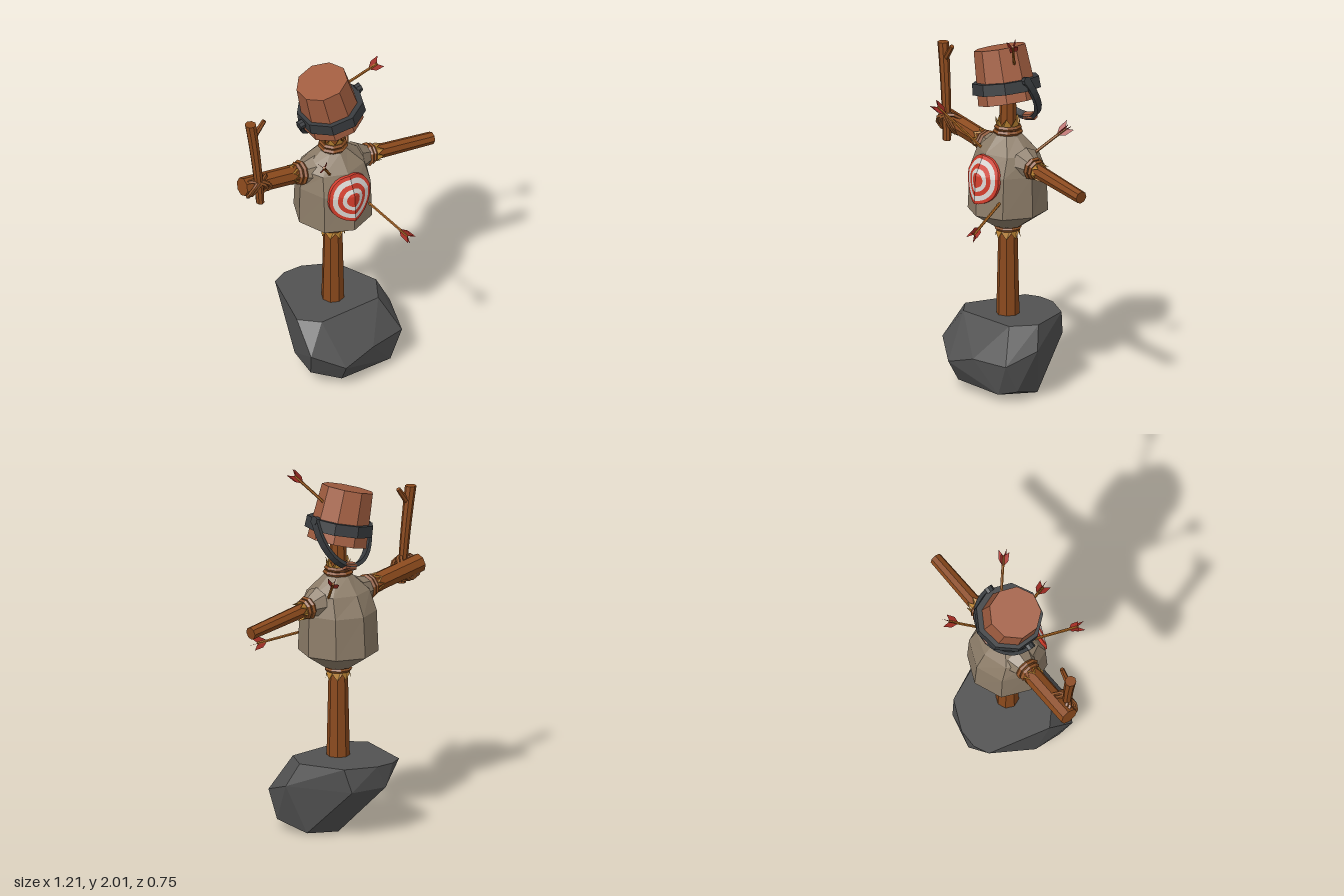
import * as THREE from 'three';
import { ConvexGeometry } from 'three/addons/geometries/ConvexGeometry.js';

const mat = (color) => new THREE.MeshStandardMaterial({ color, flatShading: true, side: THREE.DoubleSide });
const WOOD = mat(0x8a491c), ROPE = mat(0x8c5024), FRAY = mat(0xb98232), SACK = mat(0x8d7d69);
const CLAY = mat(0xa15d40), IRON = mat(0x383b3e), STONE = mat(0x525252);
const RED = mat(0xd23c2b), WHITE = mat(0xd9d6d2), SHAFT = mat(0xb06a24), FEATHER = mat(0xa52d24);
const CX = -0.035, CZ = -0.065;
const V = (a) => new THREE.Vector3(...a);

function add(parent, name, geometry, material) {
  const mesh = new THREE.Mesh(geometry, material);
  mesh.name = name;
  parent.add(mesh);
  return mesh;
}

// Group whose local +y runs from a towards b
function aim(parent, name, a, b) {
  const g = new THREE.Group();
  g.name = name;
  g.position.copy(V(a));
  g.quaternion.setFromUnitVectors(new THREE.Vector3(0, 1, 0), V(b).sub(V(a)).normalize());
  parent.add(g);
  return g;
}

// Tapered pole between two points
function pole(parent, name, a, b, r1, r2, sides = 8) {
  const g = aim(parent, name, a, b), len = V(a).distanceTo(V(b));
  add(g, name, new THREE.CylinderGeometry(r2, r1, len, sides), WOOD).position.y = len / 2;
}

// Two rope rings with a frayed crown of cloth points
function collar(parent, name, at, towards, r) {
  const g = aim(parent, name, at, towards);
  for (const y of [-0.012, 0.012]) {
    const ring = add(g, 'ropeRing', new THREE.TorusGeometry(y < 0 ? r : r - 0.007, 0.013, 5, 9), ROPE);
    ring.rotation.x = Math.PI / 2;
    ring.position.y = y;
  }
  const crown = new THREE.CylinderGeometry(r - 0.003, r - 0.016, 0.055, 16, 1, true);
  const p = crown.attributes.position;
  for (let i = 1; i < 17; i += 2) p.setY(i, p.getY(i) - 0.035);
  add(g, 'frayedCloth', crown, FRAY).position.y = 0.04;
}

// Sack cross-sections: height, half width, half depth
const RINGS = [[0.9, 0.085, 0.085], [0.985, 0.213, 0.219], [1.21, 0.208, 0.205], [1.32, 0.185, 0.152], [1.41, 0.075, 0.075]];

function sackGeometry() {
  const pos = [], idx = [], n = 8;
  for (const [y, rx, rz] of RINGS)
    for (let i = 0; i < n; i++) {
      const a = (i / n) * Math.PI * 2;
      pos.push(CX + rx * Math.sin(a), y, CZ + rz * Math.cos(a));
    }
  for (let r = 0; r < RINGS.length - 1; r++)
    for (let i = 0; i < n; i++) {
      const a = r * n + i, b = r * n + ((i + 1) % n);
      idx.push(a, b, b + n, a, b + n, a + n);
    }
  const top = (RINGS.length - 1) * n;
  for (let i = 1; i < n - 1; i++) idx.push(0, i + 1, i, top, top + i, top + i + 1);
  const g = new THREE.BufferGeometry();
  g.setAttribute('position', new THREE.Float32BufferAttribute(pos, 3));
  g.setIndex(idx);
  g.computeVertexNormals();
  return g;
}

// Depth of the sack's front at an offset dx from its middle
function sackFront(dx, y) {
  let k = 0;
  while (k < RINGS.length - 2 && y > RINGS[k + 1][0]) k++;
  const [y0, x0, z0] = RINGS[k], [y1, x1, z1] = RINGS[k + 1], t = (y - y0) / (y1 - y0);
  return CZ + (z0 + (z1 - z0) * t) * (1 - (0.414 * Math.abs(dx)) / (x0 + (x1 - x0) * t));
}

// Lay a flat geometry onto the sack's front
function wrap(geometry) {
  const p = geometry.attributes.position, cy = 1.185;
  for (let i = 0; i < p.count; i++) {
    const x = p.getX(i), y = p.getY(i) + cy;
    p.setXYZ(i, x + CX, y, p.getZ(i) + sackFront(x, y));
  }
  geometry.computeVertexNormals();
  return geometry;
}

function arrow(parent, tip, tail) {
  const g = aim(parent, 'arrow', tip, tail), len = V(tip).distanceTo(V(tail));
  add(g, 'arrowShaft', new THREE.CylinderGeometry(0.008, 0.008, len, 6), SHAFT).position.y = len / 2 - 0.02;
  const vane = new THREE.Shape([[0, -0.075], [0.03, -0.035], [0.034, 0.02], [0, -0.012], [-0.034, 0.02], [-0.03, -0.035]]
    .map(([x, y]) => new THREE.Vector2(x, y)));
  for (const turn of [0.4, 0.4 + Math.PI / 2]) {
    const f = add(g, 'fletching', new THREE.ShapeGeometry(vane), FEATHER);
    f.position.y = len - 0.01;
    f.rotation.y = turn;
  }
}

export function createModel() {
  const model = new THREE.Group();
  model.name = 'trainingDummy';

  // Boulder base
  add(model, 'boulder', new ConvexGeometry([
    [-0.31, 0.4, 0.01], [-0.21, 0.4, 0.1], [0.16, 0.4, 0.08], [0.235, 0.4, -0.06], [0.13, 0.4, -0.3],
    [-0.04, 0.4, -0.375], [-0.15, 0.4, -0.375], [-0.23, 0.4, -0.335], [-0.1, 0.275, -0.375], [0.1, 0.27, -0.33],
    [0.29, 0.275, -0.01], [-0.315, 0.245, 0.16], [-0.15, 0.16, 0.25], [0.035, 0.215, 0.228], [0.25, 0.21, 0.175],
    [0.2, 0.01, -0.08], [0.03, 0, -0.14], [-0.14, 0.05, 0.19], [0.18, 0.04, 0.17], [0.255, 0.06, 0.1],
    [-0.28, 0.09, 0.1], [-0.28, 0.12, -0.06]].map(V)), STONE);

  // Post and neck
  pole(model, 'post', [CX, 0.33, CZ], [CX, 0.95, CZ], 0.064, 0.05);
  pole(model, 'neck', [CX, 1.36, CZ], [CX, 1.75, CZ], 0.047, 0.043);
  collar(model, 'lowerCollar', [CX, 0.895, CZ], [CX, 0, CZ], 0.07);
  collar(model, 'neckCollar', [CX, 1.435, CZ], [CX, 2, CZ], 0.07);

  // Sack body
  add(model, 'sackBody', sackGeometry(), SACK);

  // Painted target
  const radii = [0.001, 0.04, 0.062, 0.086, 0.112, 0.13];
  for (let i = 0; i < 5; i++) {
    const ring = new THREE.RingGeometry(radii[i], radii[i + 1], 32, 3);
    ring.translate(0, 0, 0.015);
    add(model, 'targetRing', wrap(ring), i % 2 ? WHITE : RED);
  }
  const rim = new THREE.CylinderGeometry(0.13, 0.13, 0.02, 32, 1, true);
  rim.rotateX(Math.PI / 2).translate(0, 0, 0.005);
  add(model, 'targetRim', wrap(rim), RED);

  // Arms with sack sleeves and collars
  const arms = [
    { side: 'right', a: [-0.15, 1.29, -0.083], b: [-0.6, 1.36, -0.078], r: [0.052, 0.052], c: [-0.243, 1.305, -0.08], cr: 0.058 },
    { side: 'left', a: [0.08, 1.278, -0.066], b: [0.592, 1.202, -0.07], r: [0.042, 0.035], c: [0.195, 1.262, -0.067], cr: 0.053 }];
  for (const { side, a, b, r, c, cr } of arms) {
    pole(model, side + 'Arm', a, b, ...r);
    collar(model, side + 'ArmCollar', c, b, cr);
    const sleeve = aim(model, side + 'Sleeve', c, b);
    add(sleeve, side + 'Sleeve', new THREE.CylinderGeometry(cr - 0.006, 0.09, 0.09, 8), SACK).position.y = -0.045;
  }

  // Bent stick lashed to the right arm
  const stick = new THREE.CylinderGeometry(0.031, 0.023, 0.535, 8, 6);
  const p = stick.attributes.position;
  for (let i = 0; i < p.count; i++) {
    const t = p.getY(i) / 0.535 + 0.5;
    p.setXYZ(i, p.getX(i) - 0.517 - 0.026 * t * (1 + t), p.getY(i) + 1.522, p.getZ(i) - 0.03 - 0.015 * t);
  }
  stick.computeVertexNormals();
  add(model, 'stick', stick, WOOD);
  pole(model, 'twig', [-0.555, 1.69, -0.043], [-0.485, 1.785, -0.04], 0.017, 0.013, 6);
  for (const tilt of [-0.75, 0.75])
    for (const shift of [-0.012, 0.012]) {
      const lash = add(model, 'lashing', new THREE.TorusGeometry(0.067, 0.011, 5, 10), ROPE);
      lash.position.set(-0.52 + shift, 1.345, -0.06);
      lash.rotation.set(0, Math.PI / 2 + tilt, tilt, 'ZYX');
    }

  // Tilted bucket head, hollow underneath
  const head = new THREE.Group();
  head.name = 'bucketHead';
  head.position.set(-0.029, 1.587, CZ);
  head.rotation.z = 0.26;
  model.add(head);
  const profile = [[0, 0.27], [0.125, 0.27], [0.143, 0], [0.165, 0], [0.142, 0.296], [0, 0.296]]
    .map(([x, y]) => new THREE.Vector2(x, y));
  add(head, 'bucket', new THREE.LatheGeometry(profile, 9), CLAY).rotation.y = Math.PI / 2;

  // Iron band
  const band = [[0.15, 0.06], [0.187, 0.06], [0.183, 0.122], [0.145, 0.122]].map(([x, y]) => new THREE.Vector2(x, y));
  const bandMesh = add(head, 'ironBand', new THREE.LatheGeometry(band, 9), IRON);
  bandMesh.rotation.set(0, Math.PI / 2, -0.05, 'ZYX');

  // Swinging handle with a grip
  const handle = new THREE.Group();
  handle.name = 'handle';
  handle.position.set(0, 0.105, 0);
  handle.rotation.x = 0.54;
  head.add(handle);
  const arch = new THREE.Shape();
  arch.absellipse(0, 0, 0.2, 0.255, Math.PI, Math.PI * 2, false);
  arch.absellipse(0, 0, 0.18, 0.233, Math.PI * 2, Math.PI, true);
  const strap = new THREE.ExtrudeGeometry(arch, { depth: 0.04, bevelEnabled: false, curveSegments: 10 });
  add(handle, 'handleStrap', strap.translate(0, 0, -0.02), IRON);
  const grip = add(handle, 'handleGrip', new THREE.CylinderGeometry(0.024, 0.024, 0.075, 6), CLAY);
  grip.position.y = -0.242;
  grip.rotation.z = Math.PI / 2;
  for (const s of [-1, 1]) {
    const pin = add(handle, 'handlePin', new THREE.CylinderGeometry(0.025, 0.025, 0.03, 8), IRON);
    pin.position.x = s * 0.187;
    pin.rotation.z = Math.PI / 2;
  }

  // Arrows, tip then tail
  arrow(model, [0.04, 1.81, -0.05], [0.175, 1.98, 0.07]);
  arrow(model, [-0.13, 1.335, 0.05], [-0.285, 1.565, 0.235]);
  arrow(model, [0.11, 1.33, -0.155], [0.2, 1.46, -0.295]);
  arrow(model, [0.085, 1.085, 0.07], [0.19, 0.965, 0.355]);

  return model;
}
